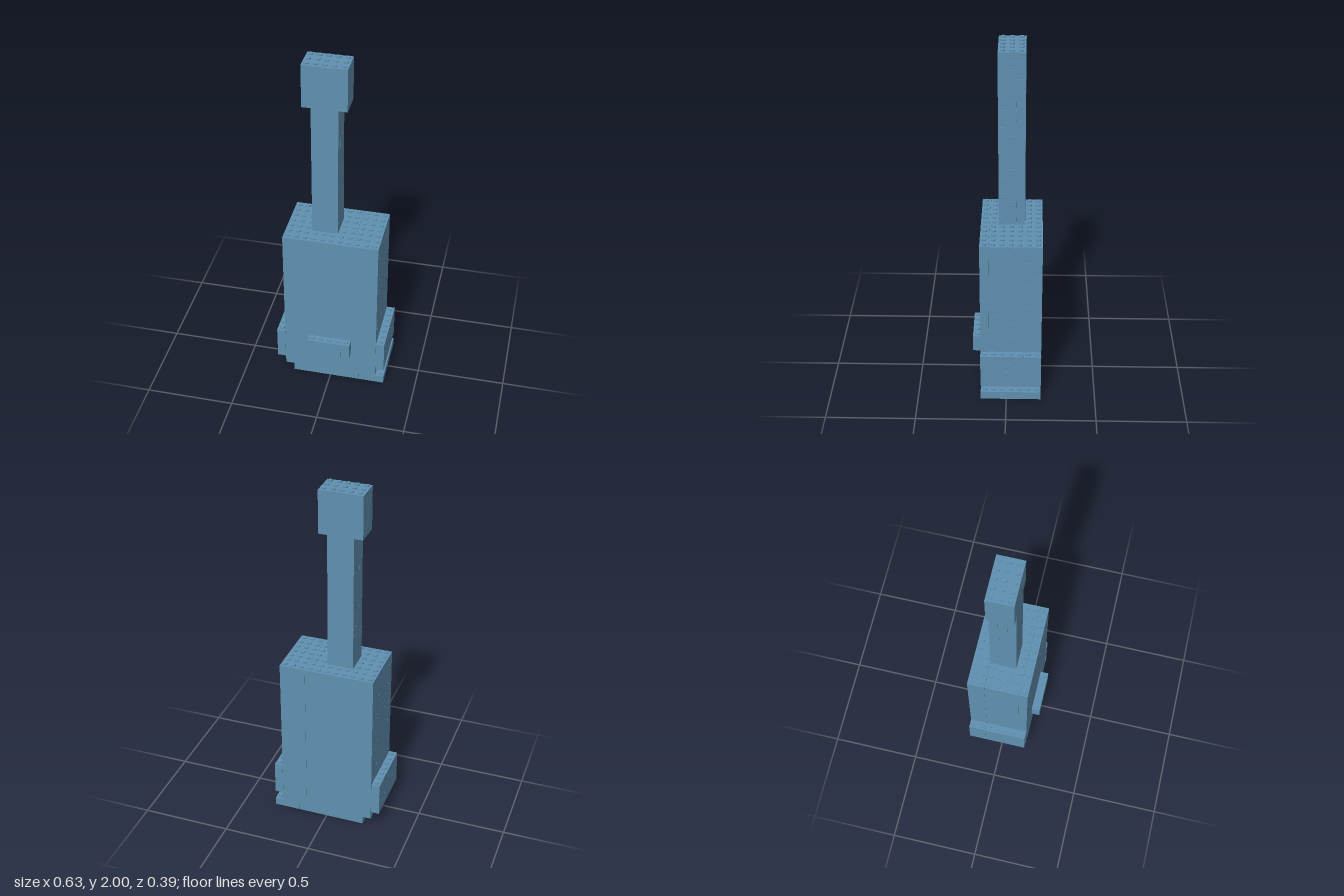
import * as THREE from 'three';
import { mergeGeometries } from 'three/addons/utils/BufferGeometryUtils.js';

const P = 0.0486;                 // stud pitch and layer height
const STUD_H = 0.0078, STUD_R = 0.0122, GAP = 0.0004;
const X0 = -6.5 * P, Z0 = -4 * P; // corner of the 13 x 8 stud grid

const brickBlue = new THREE.MeshStandardMaterial({ color: 0x6090b0 });
brickBlue.name = 'brickBlue';

// Brick covering columns c0..c1, rows r0..r1, starting at a layer
function brick(c0, c1, r0, r1, layer, tall = 1) {
  const w = c1 - c0 + 1, d = r1 - r0 + 1;
  const g = new THREE.BoxGeometry(w * P - GAP * 2, tall * P - GAP, d * P - GAP * 2);
  g.translate(X0 + (c0 + w / 2) * P, (layer + tall / 2) * P, Z0 + (r0 + d / 2) * P);
  return g;
}

// Rows of studs on top of a layer, skipping covered cells
function studs(c0, c1, r0, r1, layer, covered = () => false) {
  const list = [];
  for (let c = c0; c <= c1; c++) {
    for (let r = r0; r <= r1; r++) {
      if (covered(c, r)) continue;
      const g = new THREE.CylinderGeometry(STUD_R, STUD_R, STUD_H, 16);
      g.translate(X0 + (c + 0.5) * P, (layer + 1) * P + STUD_H / 2, Z0 + (r + 0.5) * P);
      list.push(g);
    }
  }
  return list;
}

export function createModel() {
  const group = new THREE.Group();
  const add = (name, parts) => {
    const mesh = new THREE.Mesh(mergeGeometries(parts), brickBlue);
    mesh.name = name;
    group.add(mesh);
  };

  // Base slab with an exposed studded ledge on the left
  add('base', [
    brick(2, 9, 0, 6, 0), brick(10, 12, 0, 6, 0),
    ...studs(12, 12, 0, 6, 0),
  ]);

  // Main block: four bricks per layer, front strip split near the top
  const body = [];
  for (let l = 1; l < 20; l++) {
    body.push(brick(1, 8, 0, 1, l), brick(1, 8, 2, 5, l), brick(9, 11, 0, 5, l));
    if (l === 18) body.push(brick(1, 1, 6, 6, l), brick(2, 10, 6, 6, l), brick(11, 11, 6, 6, l));
    else body.push(brick(1, 11, 6, 6, l));
  }
  const underNeck = (c, r) => c >= 4 && c <= 6 && r >= 2 && r <= 4;
  body.push(...studs(1, 11, 0, 6, 19, underNeck));
  add('body', body);

  // Side shoulders, one stud wide
  for (const [name, c] of [['rightShoulder', 0], ['leftShoulder', 12]]) {
    const parts = studs(c, c, 0, 6, 5);
    for (let l = 2; l < 6; l++) parts.push(brick(c, c, 0, 1, l), brick(c, c, 2, 6, l));
    add(name, parts);
  }

  // Small plate sticking out of the front
  add('frontPlate', [
    brick(4, 7, 7, 7, 4, 2), brick(8, 8, 7, 7, 4, 2),
    ...studs(4, 8, 7, 7, 5),
  ]);

  // Neck: two bricks per layer, the joint alternating
  const neck = [];
  for (let l = 20; l < 36; l++) {
    const split = 2 + (l % 2);
    neck.push(brick(4, 6, 2, split, l), brick(4, 6, split + 1, 4, l));
  }
  add('neck', neck);

  // Wider head on top
  const head = studs(3, 7, 2, 4, 40);
  for (let l = 36; l < 41; l++) head.push(brick(3, 7, 2, 4, l));
  add('head', head);

  return group;
}
